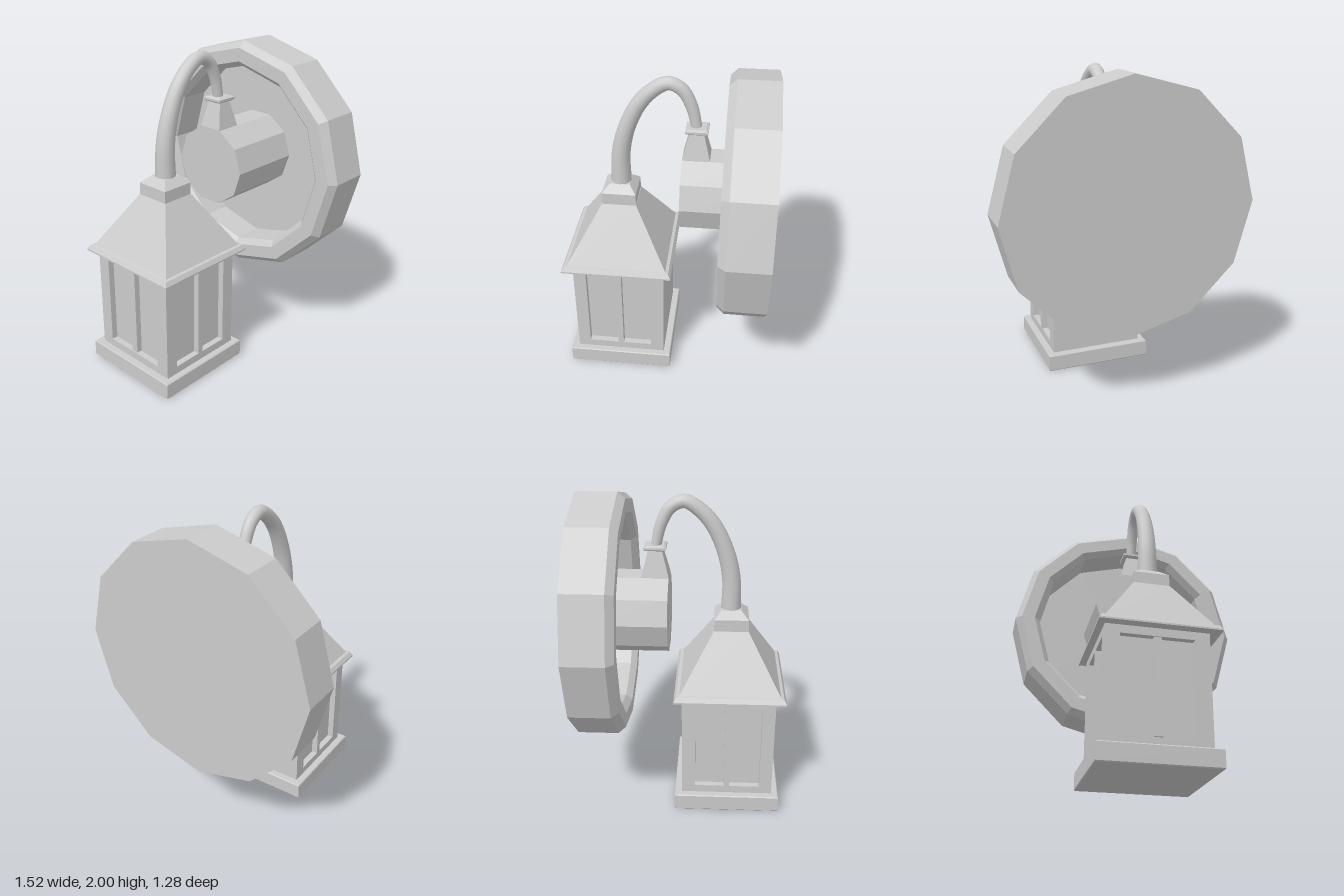
import * as THREE from 'three';

const flat = new THREE.MeshStandardMaterial({ color: 0xcccccc, flatShading: true });
const smooth = new THREE.MeshStandardMaterial({ color: 0xcccccc });

// Stacked rectangles [y, x0, x1, z0, z1], bottom to top, joined and capped
function loft(rows) {
  const pos = [], idx = [];
  for (const [y, x0, x1, z0, z1] of rows) pos.push(x0, y, z1, x1, y, z1, x1, y, z0, x0, y, z0);
  for (let r = 0; r < rows.length - 1; r++) {
    for (let k = 0; k < 4; k++) {
      const a = r * 4 + k, b = r * 4 + (k + 1) % 4;
      idx.push(a, b, b + 4, a, b + 4, a + 4);
    }
  }
  const t = (rows.length - 1) * 4;
  idx.push(0, 2, 1, 0, 3, 2, t, t + 1, t + 2, t, t + 2, t + 3);
  const g = new THREE.BufferGeometry();
  g.setAttribute('position', new THREE.Float32BufferAttribute(pos, 3));
  g.setIndex(idx);
  const out = g.toNonIndexed();
  out.computeVertexNormals();
  return out;
}

const box = (x0, x1, y0, y1, z0, z1) => loft([[y0, x0, x1, z0, z1], [y1, x0, x1, z0, z1]]);

// Faceted turned part with its axis along z; profile is [radius, z]
function turned(profile, sides, spin = 0) {
  const g = new THREE.LatheGeometry(profile.map(([r, z]) => new THREE.Vector2(r, z)), sides);
  g.rotateY(spin).rotateX(Math.PI / 2);
  const out = g.toNonIndexed();
  out.computeVertexNormals();
  return out;
}

// Upright panel with rectangular openings [u0, u1, v0, v1], extruded along +z
function panel(u0, u1, v0, v1, holes, depth) {
  const corners = (a, b, c, d) => [[a, c], [b, c], [b, d], [a, d]].map(p => new THREE.Vector2(...p));
  const shape = new THREE.Shape(corners(u0, u1, v0, v1));
  for (const h of holes) shape.holes.push(new THREE.Path(corners(...h).reverse()));
  return new THREE.ExtrudeGeometry(shape, { depth, bevelEnabled: false });
}

// Curved arm whose radius shrinks along its length
function taperedTube(points, r0, r1) {
  const n = 36, sides = 14;
  const path = new THREE.CatmullRomCurve3(points.map(([y, z]) => new THREE.Vector3(-0.01, y, z)));
  const g = new THREE.TubeGeometry(path, n, 1, sides);
  const p = g.attributes.position, v = new THREE.Vector3();
  for (let i = 0; i < p.count; i++) {
    const t = Math.floor(i / (sides + 1)) / n;
    const c = path.getPointAt(t);
    v.fromBufferAttribute(p, i).sub(c).multiplyScalar(r0 + (r1 - r0) * t).add(c);
    p.setXYZ(i, v.x, v.y, v.z);
  }
  return g;
}

export function createModel() {
  const model = new THREE.Group();
  model.name = 'wallLantern';
  const add = (name, geometry, parent = model, material = flat) => {
    const m = new THREE.Mesh(geometry, material);
    m.name = name;
    parent.add(m);
    return m;
  };

  // Twelve-sided wall plate, hollowed from the front
  add('wallPlate', turned([[0, -0.64], [0.76, -0.64], [0.76, -0.39], [0.72, -0.345],
    [0.635, -0.345], [0.6, -0.385], [0.6, -0.58], [0, -0.58]], 12)).position.y = 1.24;

  // Ten-sided mounting drum
  add('mountingDrum', turned([[0, -0.6], [0.255, -0.6], [0.255, -0.09], [0, -0.09]], 10, Math.PI / 2))
    .position.set(-0.005, 1.255, 0);

  // Socket that carries the arm
  add('armSocket', loft([[1.48, -0.083, 0.073, -0.255, -0.09], [1.5, -0.083, 0.073, -0.255, -0.09],
    [1.66, -0.05, 0.04, -0.215, -0.13]]));
  add('socketCap', loft([[1.66, -0.06, 0.05, -0.23, -0.115], [1.668, -0.073, 0.06, -0.24, -0.105],
    [1.682, -0.073, 0.06, -0.24, -0.105], [1.69, -0.055, 0.045, -0.225, -0.12]]));

  // Gooseneck arm
  add('arm', taperedTube([[1.27, 0.292], [1.48, 0.288], [1.65, 0.25], [1.81, 0.175], [1.905, 0.09],
    [1.953, 0], [1.915, -0.08], [1.81, -0.137], [1.67, -0.17]], 0.063, 0.032), model, smooth);

  const lantern = new THREE.Group();
  lantern.name = 'lantern';
  model.add(lantern);

  // Foot slab with softened edges
  add('base', loft([[0, -0.365, 0.317, -0.04, 0.62], [0.006, -0.37, 0.322, -0.045, 0.625],
    [0.104, -0.37, 0.322, -0.045, 0.625], [0.11, -0.365, 0.317, -0.04, 0.62]]), lantern);

  // Closed core, seen as the glass behind the openings
  const x0 = -0.325, x1 = 0.28, d = 0.04;
  add('glassCore', box(x0 + d, x1 - d, 0.1, 0.8, 0, 0.58 - d), lantern);

  // Front frame with one wide window and a centre bar
  add('frontFrame', panel(x0, x1, 0.1, 0.8, [[-0.24, 0.192, 0.16, 0.74]], d), lantern).position.z = 0.58 - d;
  add('frontBar', box(-0.046, 0, 0.165, 0.738, 0.53, 0.577), lantern);

  // Side frames with two windows each; u runs along -z
  for (const [name, x] of [['leftFrame', x1 - d], ['rightFrame', x0]]) {
    const side = add(name, panel(d - 0.58, 0, 0.1, 0.8,
      [[-0.5, -0.308, 0.16, 0.74], [-0.272, -0.085, 0.16, 0.74]], d), lantern);
    side.rotation.y = Math.PI / 2;
    side.position.x = x;
  }

  // Hipped roof with a moulded eave
  add('roof', loft([[0.79, -0.367, 0.345, -0.05, 0.64], [0.8, -0.367, 0.345, -0.05, 0.64],
    [0.825, -0.35, 0.33, -0.035, 0.625], [0.83, -0.33, 0.312, -0.015, 0.605],
    [1.17, -0.122, 0.102, 0.188, 0.403]]), lantern);

  // Collar where the arm meets the roof
  add('roofCollar', loft([[1.16, -0.12, 0.1, 0.19, 0.402], [1.245, -0.12, 0.1, 0.19, 0.402],
    [1.29, -0.07, 0.05, 0.232, 0.355]]), lantern);

  return model;
}
